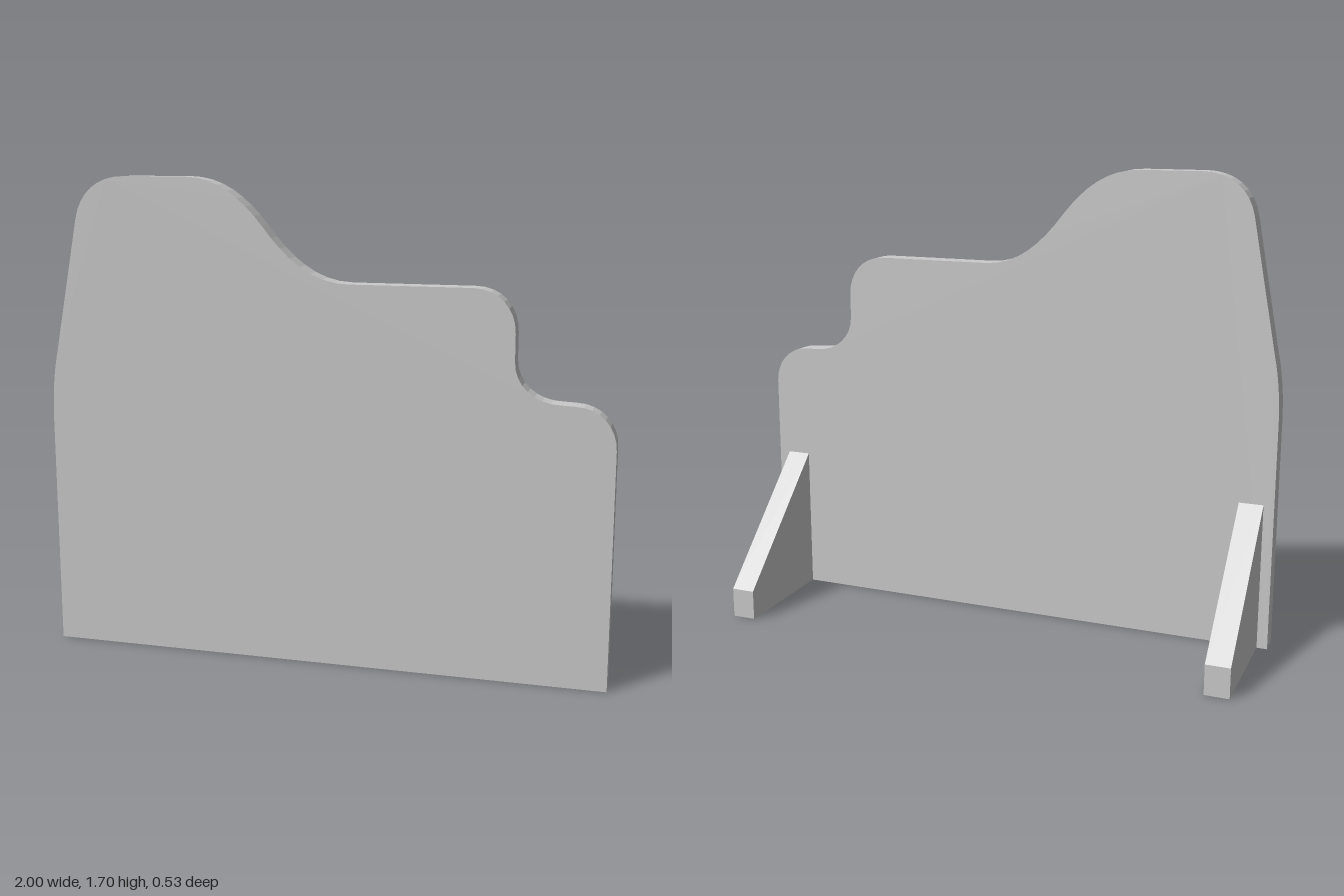
import * as THREE from 'three';

const material = new THREE.MeshStandardMaterial({ color: 0xcccccc, flatShading: true });

// Extrude a flat outline to a given thickness
function slab(name, shape, depth) {
  const geometry = new THREE.ExtrudeGeometry(shape, { depth, bevelEnabled: false, curveSegments: 8 });
  const mesh = new THREE.Mesh(geometry, material);
  mesh.name = name;
  return mesh;
}

export function createModel() {
  const group = new THREE.Group();
  group.name = 'standingPanel';
  const backZ = 0.19, halfDepth = 0.263;

  // Upright panel with a stepped, rounded top edge
  const outline = new THREE.Shape();
  outline.moveTo(-1, 0);
  outline.lineTo(1, 0);
  outline.lineTo(1, 0.83);
  outline.bezierCurveTo(1, 0.908, 0.945, 0.971, 0.86, 0.971); // low step
  outline.lineTo(0.815, 0.973);
  outline.bezierCurveTo(0.73, 0.973, 0.663, 1.03, 0.663, 1.11);
  outline.lineTo(0.663, 1.2);
  outline.bezierCurveTo(0.663, 1.285, 0.605, 1.347, 0.52, 1.347); // middle step
  outline.lineTo(0.1, 1.347);
  outline.bezierCurveTo(-0.03, 1.347, -0.12, 1.43, -0.2, 1.535); // sweep up to the peak
  outline.bezierCurveTo(-0.275, 1.63, -0.36, 1.698, -0.48, 1.698);
  outline.lineTo(-0.7, 1.698);
  outline.bezierCurveTo(-0.8, 1.698, -0.868, 1.64, -0.885, 1.55);
  outline.lineTo(-0.975, 1.08); // leaning side
  outline.quadraticCurveTo(-1, 0.97, -1, 0.83);
  outline.closePath();
  const panel = slab('panel', outline, halfDepth - backZ);
  panel.position.z = backZ;
  group.add(panel);

  // Tapered support feet behind the panel; outline x runs backwards along -z
  const foot = new THREE.Shape();
  foot.moveTo(-backZ, 0);
  foot.lineTo(halfDepth, 0);
  foot.lineTo(halfDepth, 0.11);
  foot.lineTo(-backZ, 0.54);
  foot.closePath();
  const thickness = 0.088;
  for (const [name, x] of [['leftSupport', 0.87], ['rightSupport', -0.962]]) {
    const support = slab(name, foot, thickness);
    support.rotation.y = Math.PI / 2;
    support.position.x = x;
    group.add(support);
  }
  return group;
}
